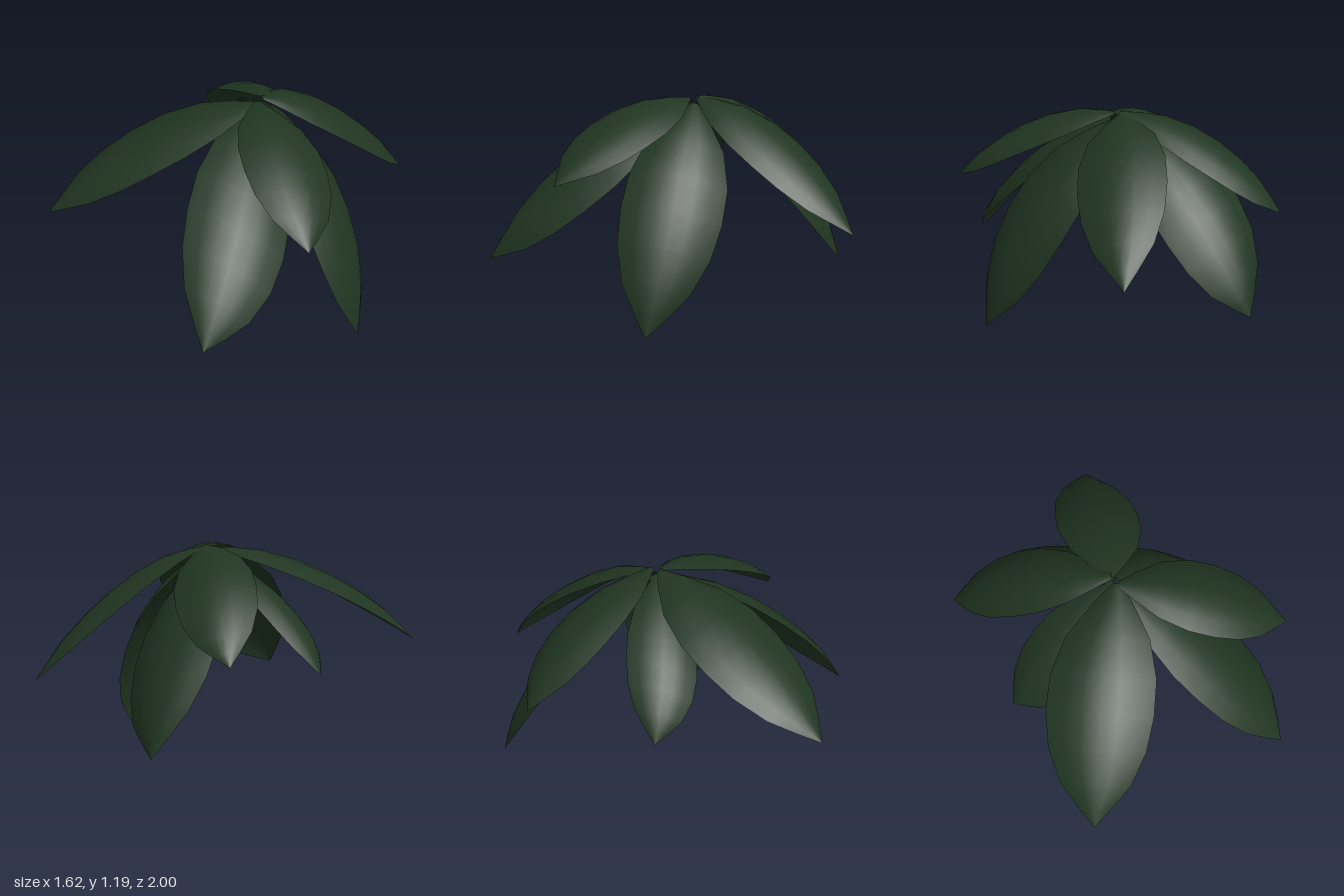
import * as THREE from 'three';

// Each leaf: base, middle of the blade, tip, and half-width vector across the blade
const LEAVES = [
  { name: 'backLeaf', base: [-0.03, 1.17, -0.06], mid: [0.08, 0.94, -0.48], tip: [0.21, 0.5, -1.0], side: [0.22, -0.04, 0.07] },
  { name: 'backRightUpperLeaf', base: [-0.02, 1.18, -0.06], mid: [-0.42, 0.995, -0.29], tip: [-0.81, 0.67, -0.49], side: [0.09, -0.05, -0.19] },
  { name: 'backRightLowerLeaf', base: [-0.01, 1.13, -0.05], mid: [-0.33, 0.73, -0.45], tip: [-0.54, 0.2, -0.77], side: [0.23, -0.09, -0.1] },
  { name: 'frontRightLeaf', base: [-0.01, 1.16, -0.02], mid: [-0.31, 0.97, 0.45], tip: [-0.6, 0.63, 1.0], side: [0.25, 0.0, 0.13] },
  { name: 'frontLeftLowerLeaf', base: [0.0, 1.14, 0.0], mid: [0.33, 0.78, 0.44], tip: [0.59, 0.31, 0.93], side: [0.21, -0.12, -0.14] },
  { name: 'frontLeftUpperLeaf', base: [-0.01, 1.17, -0.01], mid: [0.39, 1.03, 0.19], tip: [0.81, 0.77, 0.42], side: [0.1, -0.045, -0.2] },
  { name: 'leftLeaf', base: [0.0, 1.14, -0.05], mid: [0.42, 0.67, -0.09], tip: [0.75, 0.0, -0.05], side: [0.09, 0.05, 0.25] },
  { name: 'rightLeaf', base: [-0.01, 1.14, -0.03], mid: [-0.4, 0.87, 0.11], tip: [-0.73, 0.54, 0.17], side: [-0.04, 0.05, -0.18] },
];

// Blade outline: position along the leaf, relative width
const OUTLINE = [[0, 0.08], [0.1, 0.38], [0.25, 0.77], [0.42, 0.98], [0.57, 1],
  [0.71, 0.91], [0.84, 0.66], [0.93, 0.31], [1, 0]];
const ACROSS = 6;
const DOME = 0.31; // blade bulge relative to half width

function leafGeometry({ base, mid, tip, side }) {
  const p0 = new THREE.Vector3(...base), m = new THREE.Vector3(...mid), p2 = new THREE.Vector3(...tip);
  const control = m.clone().multiplyScalar(2).addScaledVector(p0, -0.5).addScaledVector(p2, -0.5);
  const spine = new THREE.QuadraticBezierCurve3(p0, control, p2);
  const w = new THREE.Vector3(...side);
  if (spine.getTangent(0.5).cross(w).y < 0) w.negate();

  const positions = [], indices = [];
  for (const [t, width] of OUTLINE) {
    const centre = spine.getPoint(t);
    const up = spine.getTangent(t).cross(w).normalize();
    for (let j = 0; j <= ACROSS; j++) {
      const s = (j / ACROSS) * 2 - 1;
      const p = centre.clone().addScaledVector(w, s * width)
        .addScaledVector(up, DOME * w.length() * width * (1 - s * s));
      positions.push(p.x, p.y, p.z);
    }
  }
  const row = ACROSS + 1;
  for (let i = 0; i < OUTLINE.length - 1; i++) {
    for (let j = 0; j < ACROSS; j++) {
      const a = i * row + j, b = a + row;
      indices.push(a, b, a + 1);
      if (i < OUTLINE.length - 2) indices.push(b, b + 1, a + 1); // last row closes to the tip
    }
  }
  const geometry = new THREE.BufferGeometry();
  geometry.setAttribute('position', new THREE.Float32BufferAttribute(positions, 3));
  geometry.setIndex(indices);
  geometry.computeVertexNormals();
  return geometry;
}

export function createModel() {
  const group = new THREE.Group();
  group.name = 'leafCluster';
  const green = new THREE.MeshStandardMaterial({ color: 0x203521, side: THREE.DoubleSide });
  green.name = 'darkGreen';
  for (const leaf of LEAVES) {
    const mesh = new THREE.Mesh(leafGeometry(leaf), green);
    mesh.name = leaf.name;
    group.add(mesh);
  }
  return group;
}
